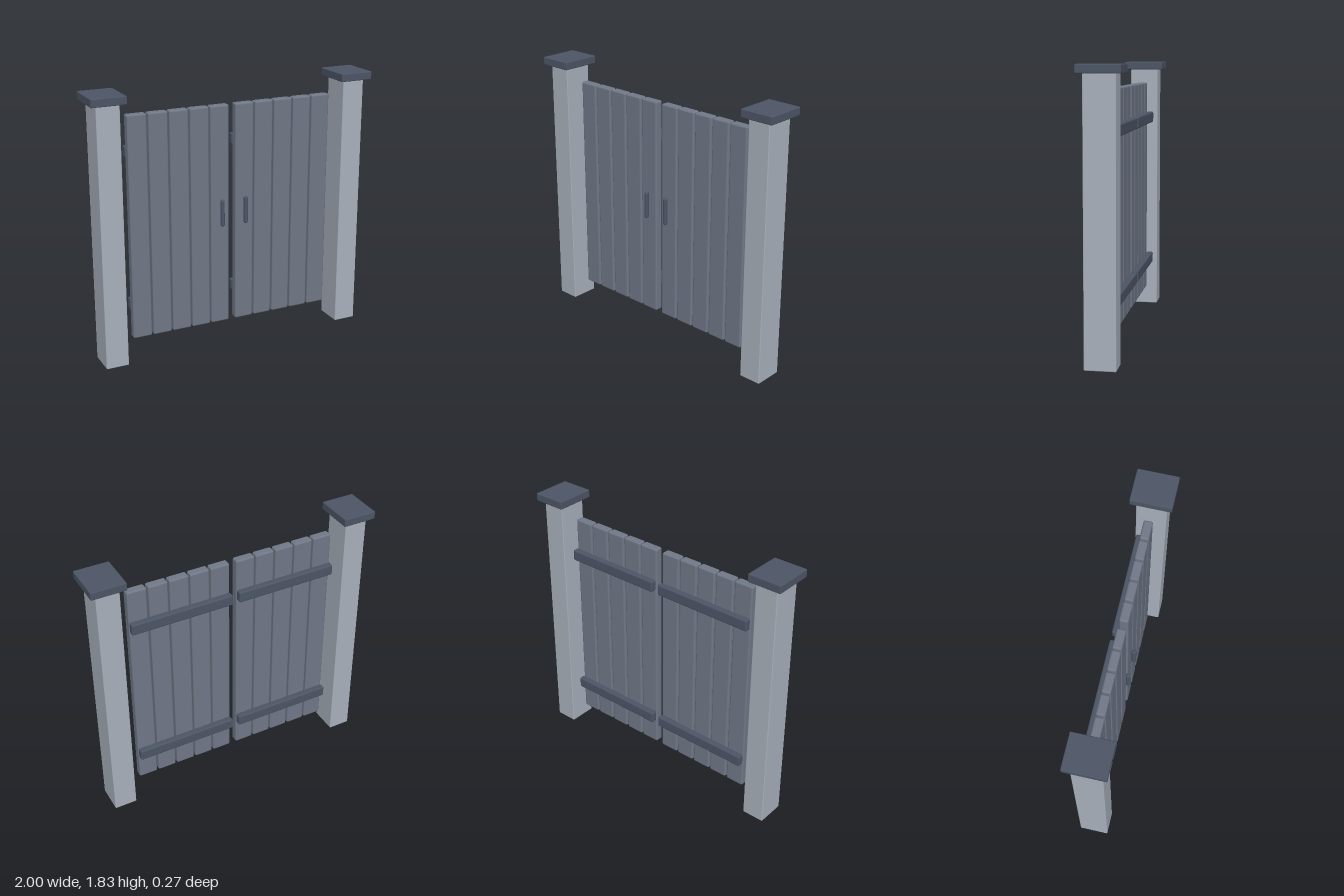
import * as THREE from 'three';
import { RoundedBoxGeometry } from 'three/addons/geometries/RoundedBoxGeometry.js';

const postMat = new THREE.MeshStandardMaterial({ color: 0xa9b1bc });
const plankMat = new THREE.MeshStandardMaterial({ color: 0x707887 });
const darkMat = new THREE.MeshStandardMaterial({ color: 0x4d5566 });

// Softly bevelled block given by its size and centre
function block(name, [w, h, d], [x, y, z], bevel, material, segments = 2) {
  const mesh = new THREE.Mesh(new RoundedBoxGeometry(w, h, d, segments, bevel), material);
  mesh.name = name;
  mesh.position.set(x, y, z);
  return mesh;
}

// One half of the gate: post, cap, and a leaf of planks on two rails
function createSide(side) {
  const half = new THREE.Group();
  half.name = side > 0 ? 'leftSide' : 'rightSide';

  half.add(block('post', [0.157, 1.78, 0.2], [side * 0.88, 0.89, 0], 0.006, postMat));
  half.add(block('postCap', [0.234, 0.055, 0.274], [side * 0.883, 1.807, 0], 0.006, darkMat));

  const leaf = new THREE.Group();
  leaf.name = 'gateLeaf';
  for (let i = 0; i < 5; i++) {
    const x = side * (0.091 + i * 0.144);
    leaf.add(block('plank', [0.134, 1.54, 0.06], [x, 0.915, -0.003], 0.012, plankMat));
  }
  for (const y of [0.376, 1.432]) {
    leaf.add(block('rail', [0.709, 0.077, 0.045], [side * 0.379, y, -0.057], 0.01, darkMat));
  }
  leaf.add(block('handle', [0.027, 0.19, 0.031], [side * 0.087, 0.953, 0.055], 0.012, darkMat, 3));
  half.add(leaf);
  return half;
}

export function createModel() {
  const gate = new THREE.Group();
  gate.name = 'gate';
  gate.add(createSide(1), createSide(-1));
  return gate;
}
